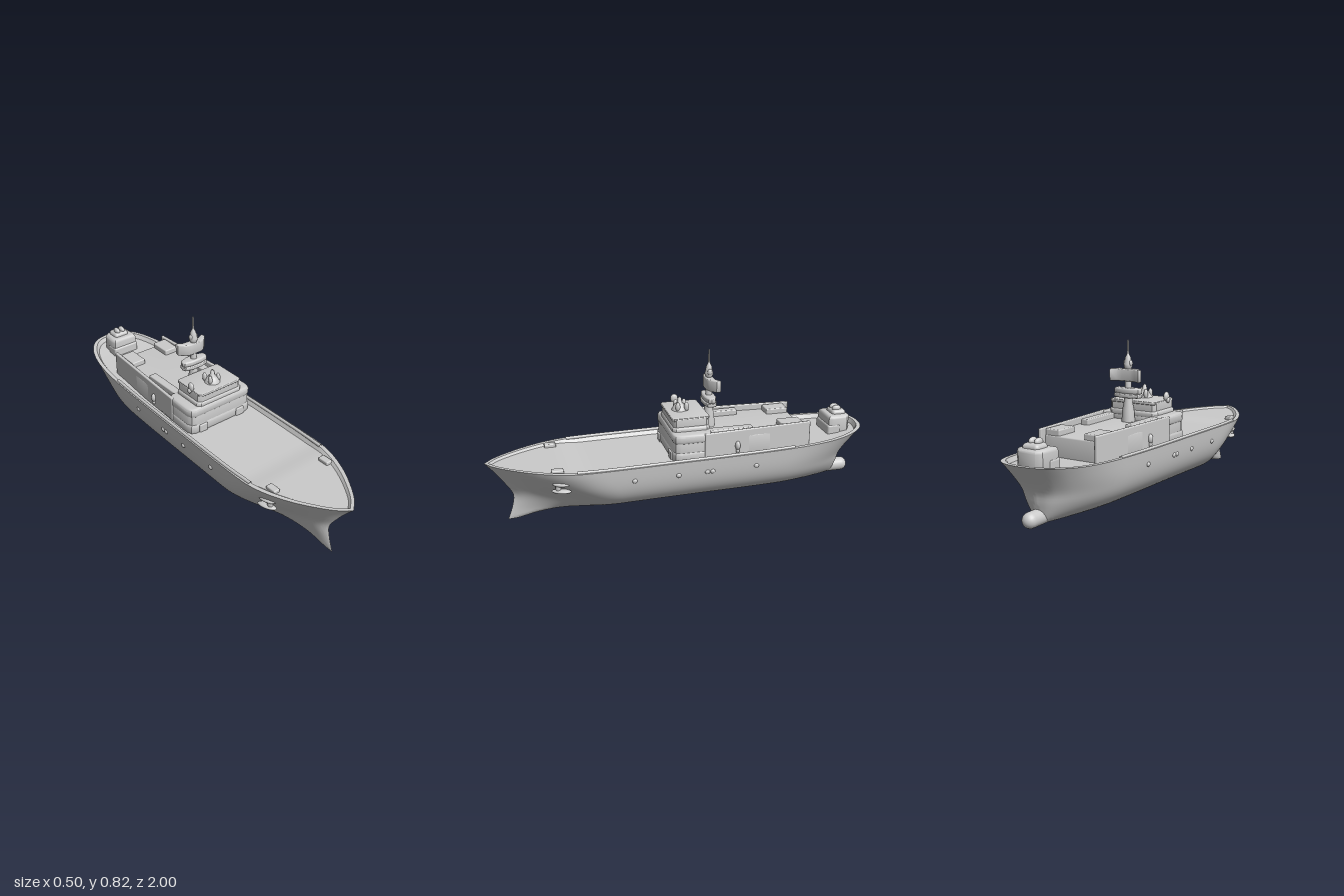
import * as THREE from 'three';
import { toCreasedNormals } from 'three/addons/utils/BufferGeometryUtils.js';
import { RoundedBoxGeometry } from 'three/addons/geometries/RoundedBoxGeometry.js';

const mat = new THREE.MeshStandardMaterial({ color: 0xcccccc, side: THREE.DoubleSide });
const { lerp, smoothstep } = THREE.MathUtils;

// smooth lookup through [position, value] pairs
function curve(pts) {
  const n = pts.length - 1;
  const slope = (i) => {
    const a = pts[Math.max(i - 1, 0)], b = pts[Math.min(i + 1, n)];
    return (b[1] - a[1]) / (b[0] - a[0]);
  };
  return (t) => {
    t = THREE.MathUtils.clamp(t, pts[0][0], pts[n][0]);
    let i = 0;
    while (i < n - 1 && t > pts[i + 1][0]) i++;
    const [x0, y0] = pts[i], [x1, y1] = pts[i + 1];
    const h = x1 - x0, u = (t - x0) / h, u2 = u * u, u3 = u2 * u;
    return (2 * u3 - 3 * u2 + 1) * y0 + (u3 - 2 * u2 + u) * h * slope(i)
      + (3 * u2 - 2 * u3) * y1 + (u3 - u2) * h * slope(i + 1);
  };
}

const beam = curve([[-1, 0], [-0.99, 0.068], [-0.96, 0.122], [-0.9, 0.17], [-0.8, 0.207], [-0.65, 0.23],
  [-0.4, 0.242], [0, 0.249], [0.5, 0.25], [0.6, 0.24], [0.7, 0.21], [0.8, 0.163], [0.9, 0.099], [0.96, 0.05], [1, 0]]);
const sheer = curve([[-1, 0.362], [-0.8, 0.343], [-0.5, 0.332], [0, 0.326], [0.55, 0.32], [1, 0.322]]);
const keel = curve([[-1, 0.075], [-0.6, 0.066], [0, 0.062], [0.45, 0.055], [0.7, 0.045], [0.85, 0.025], [0.94, 0.006], [1, 0.002]]);
const stem = curve([[0, 0.907], [0.075, 0.88], [0.14, 0.872], [0.21, 0.912], [0.27, 0.955], [0.322, 1]]);
const transom = curve([[0.07, -0.86], [0.17, -0.88], [0.22, -0.89], [0.28, -0.93], [0.362, -1]]);

// hull surface point: q is the station (-1 stern, 1 bow), v the height fraction
function hullPoint(q, v) {
  const y = lerp(keel(q), sheer(q), v);
  const z = lerp(transom(y), stem(y), (q + 1) / 2);
  const mid = Math.sqrt(1 - Math.pow(1 - v, 3.6)) * (0.9 + 0.1 * v);
  const bow = 1 - Math.pow(1 - Math.pow(v, 1.5), 1.6);
  let g = lerp(mid, bow, smoothstep(q, 0.4, 0.95));
  g = lerp(g, Math.pow(v, 0.4), smoothstep(-q, 0.55, 1) * 0.7);
  // thickness of the forefoot fin
  const fin = 0.032 * smoothstep(q, 0.5, 0.85) * Math.sqrt(Math.max(0, 1 - q)) * Math.sqrt(Math.min(1, v * 16)) * (1 - v);
  return [beam(q) * g + fin, y, z];
}

// closed loft: deck, bulwark, side, keel and back up the other side
function hullGeometry() {
  const stations = 100, levels = 24, pos = [], idx = [];
  let cols = 0;
  for (let i = 0; i <= stations; i++) {
    const q = -Math.cos(Math.PI * i / stations);
    const [x, y, z] = hullPoint(q, 1);
    const deck = y - lerp(0.023, 0.011, smoothstep(q, 0.5, 0.65));
    const half = [[0, deck, z * 0.968], [x * 0.86, deck, z * 0.968], [x * 0.915, y, z * 0.98]];
    for (let k = levels; k >= 0; k--) half.push(hullPoint(q, (k / levels) ** 1.8));
    const ring = half.concat(half.slice(0, -1).reverse().map((p) => [-p[0], p[1], p[2]]));
    cols = ring.length;
    pos.push(...ring.flat());
  }
  for (let i = 0; i < stations; i++) for (let j = 0; j < cols - 1; j++) {
    const a = i * cols + j, b = a + cols;
    idx.push(a, b, a + 1, b, b + 1, a + 1);
  }
  const g = new THREE.BufferGeometry();
  g.setAttribute('position', new THREE.Float32BufferAttribute(pos, 3));
  g.setIndex(idx);
  return toCreasedNormals(g, 0.6);
}

export function createModel() {
  const ship = new THREE.Group();
  ship.name = 'ship';
  const add = (name, geo, x = 0, y = 0, z = 0) => {
    const m = new THREE.Mesh(geo, mat);
    m.name = name;
    m.position.set(x, y, z);
    ship.add(m);
    return m;
  };
  // rounded box given by its extents
  const box = (name, x0, x1, y0, y1, z0, z1, r = 0.006) => add(name,
    new RoundedBoxGeometry(x1 - x0, y1 - y0, z1 - z0, 3, r), (x0 + x1) / 2, (y0 + y1) / 2, (z0 + z1) / 2);
  const ball = (name, x, y, z, sx, sy, sz) => {
    const m = add(name, new THREE.SphereGeometry(1, 20, 14), x, y, z);
    m.scale.set(sx, sy, sz);
    return m;
  };
  const lathe = (name, pts, x, y, z) => add(name,
    new THREE.LatheGeometry(pts.map((p) => new THREE.Vector2(...p)), 24), x, y, z);
  // plan outline of [x, z] points on the +x side, mirrored and raised
  const plan = (name, pts, y0, y1, bevel = 0.006) => {
    const all = pts.concat(pts.slice().reverse().map(([x, z]) => [-x, z]));
    const shape = new THREE.Shape(all.map(([x, z]) => new THREE.Vector2(x, -z)));
    const g = new THREE.ExtrudeGeometry(shape, { depth: y1 - y0 - 2 * bevel, bevelSize: bevel,
      bevelThickness: bevel, bevelOffset: -bevel, bevelSegments: 3 });
    g.rotateX(-Math.PI / 2);
    return add(name, toCreasedNormals(g, 0.7), 0, y0 + bevel, 0);
  };

  add('hull', hullGeometry());
  const bulb = add('sternBulb', new THREE.CapsuleGeometry(0.037, 0.08, 8, 20), 0, 0.107, -0.878);
  bulb.rotation.x = Math.PI / 2;

  // deckhouse with raised side walls
  plan('deckhouse', [[0.16, 0.08], [0.183, 0.07], [0.194, 0.045], [0.193, -0.1], [0.185, -0.35], [0.165, -0.62], [0.1, -0.625]], 0.295, 0.412);
  plan('bridgeDeck', [[0.165, 0.083], [0.188, 0.072], [0.198, 0.045], [0.196, -0.1], [0.17, -0.12]], 0.395, 0.445, 0.014);
  plan('deckhouseFoot', [[0.165, 0.083], [0.188, 0.072], [0.198, 0.045], [0.196, -0.1]], 0.295, 0.355, 0.014);
  for (const s of [-1, 1]) {
    // side wall running past the rear of the house
    const wall = box('sideWall', -0.009, 0.009, 0.31, 0.445, -0.29, 0.29);
    wall.position.set(s * 0.174, 0.377, -0.365);
    wall.rotation.y = s * 0.06;
    box('rearLocker', s * 0.11 - 0.04, s * 0.11 + 0.04, 0.39, 0.44, -0.62, -0.5);
    box('roofLocker', s * 0.13 - 0.022, s * 0.13 + 0.022, 0.4, 0.44, -0.345, -0.09);
    box('frontLocker', s * 0.12 - 0.025, s * 0.12 + 0.025, 0.3, 0.345, 0.06, 0.09);
    ball('wallFitting', s * 0.19, 0.362, -0.25, 0.016, 0.024, 0.014);
    ball('wallFittingFoot', s * 0.19, 0.335, -0.25, 0.012, 0.014, 0.01);

    // bow bitts, gunwale rails and hull fittings
    box('bowBitt', s * 0.17 - 0.018, s * 0.17 + 0.018, 0.295, 0.326, 0.63, 0.69);
    const path = new THREE.CatmullRomCurve3(Array.from({ length: 9 }, (_, i) => {
      const q = 0.57 - i * 0.14;
      return new THREE.Vector3(s * (beam(q) - 0.016), sheer(q) + 0.001, q);
    }));
    add('gunwaleRail', new THREE.TubeGeometry(path, 50, 0.009, 8));
    for (const z of [0.3, 0.06, -0.1, -0.13, -0.38]) {
      const p = hullPoint(z, 0.74);
      ball('hullFitting', s * p[0], p[1], p[2], 0.008, 0.012, 0.013);
    }
    const a = hullPoint(0.69, 0.7);
    const anchor = new THREE.Group();
    anchor.name = 'anchor';
    for (const [dy, h, l] of [[0.018, 0.013, 0.045], [-0.02, 0.011, 0.05]])
      anchor.add(ball('anchorBar', 0, dy, 0, 0.02, h, l));
    anchor.add(ball('anchorShank', 0, 0, 0.015, 0.013, 0.034, 0.014));
    anchor.position.set(s * (a[0] + 0.004), 0.236, a[2]);
    anchor.rotation.y = -s * 0.35;
    ship.add(anchor);
  }

  // bridge with sloping foot and overhanging roof
  plan('bridge', [[0.118, 0.068], [0.134, 0.055], [0.134, -0.1], [0.118, -0.115]], 0.43, 0.51);
  plan('bridgeFoot', [[0.125, 0.074], [0.143, 0.058], [0.143, -0.1], [0.12, -0.12]], 0.425, 0.468, 0.014);
  plan('bridgeRoof', [[0.12, 0.075], [0.132, 0.065], [0.132, -0.11], [0.12, -0.12]], 0.497, 0.514);

  // roof instruments
  lathe('instrumentBase', [[0.042, 0], [0.037, 0.012], [0.026, 0.03], [0.014, 0.038], [0.009, 0.064], [0, 0.072]], 0, 0.511, 0.005);
  for (const x of [-0.026, 0.026]) for (const z of [-0.025, 0.02])
    ball('instrumentLobe', x, 0.535, z, 0.011, 0.025, 0.013);
  ball('searchlight', -0.133, 0.528, 0, 0.013, 0.024, 0.02);
  ball('searchlightFoot', -0.143, 0.51, 0, 0.01, 0.014, 0.012);

  // mast with two aerial platforms and a spire
  const mastZ = -0.15;
  lathe('mast', [[0.034, 0], [0.03, 0.06], [0.022, 0.1], [0.017, 0.16], [0.016, 0.26], [0, 0.27]], 0, 0.41, mastZ);
  plan('lowerPlatform', [[0.03, -0.115], [0.07, -0.125], [0.078, -0.145], [0.07, -0.172], [0.03, -0.185]], 0.533, 0.555, 0.008);
  plan('lowerPlatformTop', [[0.03, -0.12], [0.07, -0.13], [0.077, -0.145], [0.07, -0.167], [0.03, -0.18]], 0.553, 0.582, 0.008);
  plan('upperAerial', [[0.03, -0.128], [0.055, -0.136], [0.087, -0.166], [0.083, -0.19], [0.05, -0.172], [0.025, -0.17]], 0.615, 0.677);
  lathe('spire', [[0.015, 0], [0.021, 0.012], [0.021, 0.025], [0.017, 0.04], [0.015, 0.056], [0.008, 0.07],
    [0.005, 0.08], [0.004, 0.142], [0, 0.148]], 0, 0.675, mastZ);
  for (const s of [-1, 1]) ball('spireFitting', s * 0.017, 0.705, mastZ, 0.008, 0.016, 0.012);

  // stern winch housing
  plan('winchHousing', [[0.07, -0.805], [0.077, -0.83], [0.07, -0.91], [0.045, -0.93]], 0.31, 0.42, 0.018);
  box('winchSill', -0.078, 0.078, 0.31, 0.372, -0.87, -0.797, 0.012);
  box('winchTop', -0.045, 0.045, 0.4, 0.44, -0.915, -0.835, 0.018);
  for (const s of [-1, 1]) ball('winchDrum', s * 0.016, 0.444, -0.868, 0.014, 0.018, 0.025);

  return ship;
}
